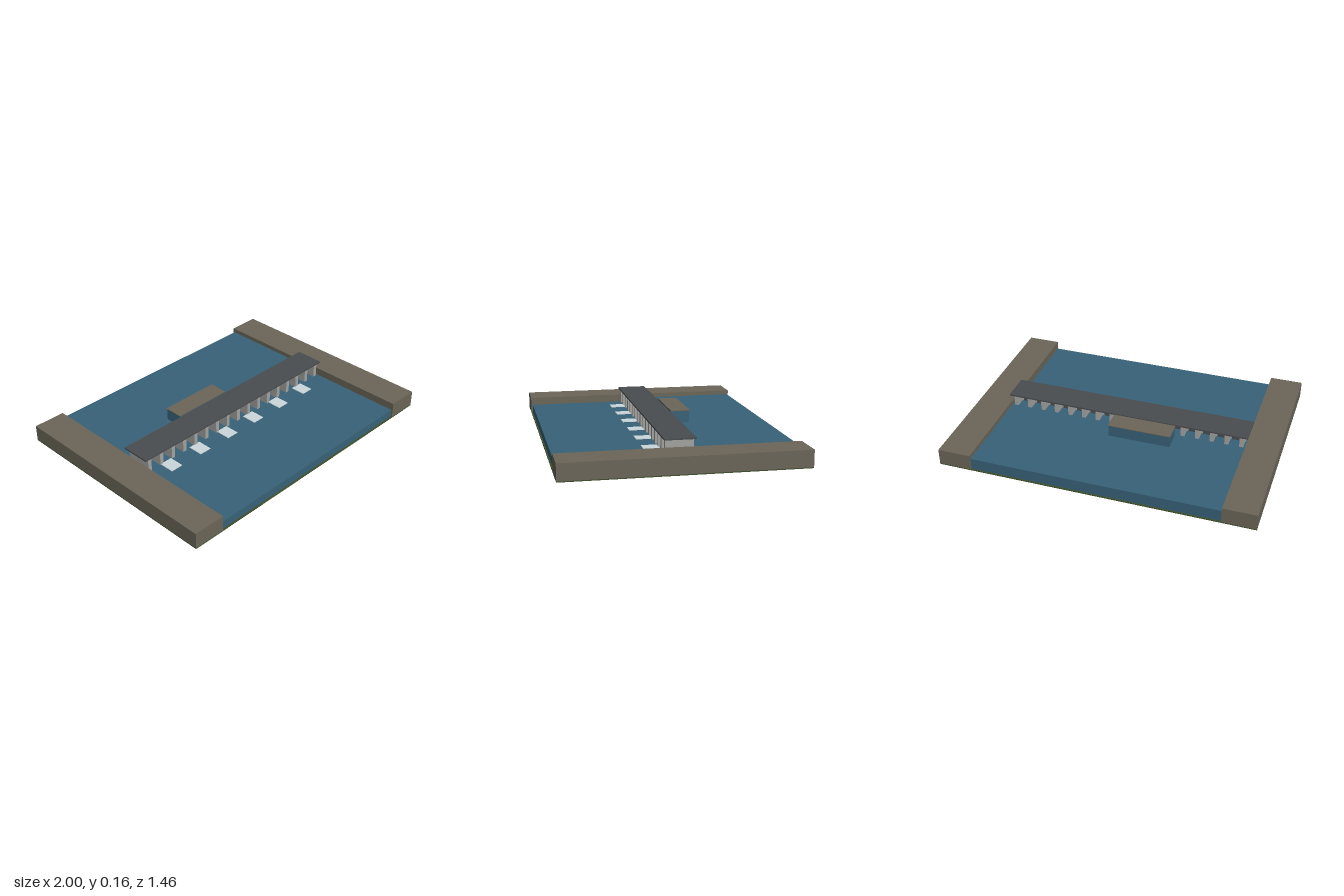
import * as THREE from 'three';

const mat = (name, color) => {
  const m = new THREE.MeshStandardMaterial({ color });
  m.name = name;
  return m;
};

export function createModel() {
  const root = new THREE.Group();
  root.name = 'riverBarrage';
  const grass = mat('grass green', 0x3d4f2c);
  const earth = mat('bank brown', 0x6b6658);
  const water = mat('water blue', 0x386278);
  const concrete = mat('concrete grey', 0xa3a3a1);
  const asphalt = mat('deck grey', 0x4a4d50);
  const steel = mat('gate grey', 0x4b4f52);
  const foamWhite = mat('foam white', 0xccd8dc);

  // Box given by its lower and upper corner on each axis
  const box = (name, material, [x0, x1], [y0, y1], [z0, z1], parent = root) => {
    const mesh = new THREE.Mesh(new THREE.BoxGeometry(x1 - x0, y1 - y0, z1 - z0), material);
    mesh.position.set((x0 + x1) / 2, (y0 + y1) / 2, (z0 + z1) / 2);
    mesh.name = name;
    parent.add(mesh);
    return mesh;
  };

  // Ground, banks and the two water levels
  box('ground', grass, [-1, 1], [0, 0.006], [-0.73, 0.73]);
  box('leftBank', earth, [0.79, 1], [0.006, 0.108], [-0.73, 0.73]);
  box('rightBank', earth, [-1, -0.79], [0.006, 0.108], [-0.73, 0.73]);
  box('upstreamWater', water, [-0.79, 0.79], [0.006, 0.08], [-0.72, -0.02]);
  box('downstreamWater', water, [-0.79, 0.79], [0.006, 0.058], [-0.02, 0.72]);

  // Piers with lift gates between them
  const dam = new THREE.Group();
  dam.name = 'dam';
  root.add(dam);
  const pitch = 0.095;
  for (let i = 0; i <= 16; i++) {
    const x = (i - 8) * pitch;
    box('pier', concrete, [x - 0.013, x + 0.013], [0.03, 0.152], [-0.085, 0.085], dam);
    if (i < 16) {
      const c = x + pitch / 2;
      box('gate', steel, [c - 0.027, c + 0.027], [0.05, 0.12], [-0.012, 0.012], dam);
    }
  }
  box('deck', asphalt, [-0.8, 0.8], [0.152, 0.162], [-0.095, 0.095], dam);

  // Powerhouse on the upstream side
  box('powerhouse', water, [-0.335, 0.065], [0.05, 0.157], [-0.225, -0.107]);
  box('powerhouseRoof', earth, [-0.338, 0.068], [0.157, 0.162], [-0.23, -0.104]);

  // Foam below the gates
  for (let i = 0; i < 6; i++) {
    const x = -0.63 + i * 0.24;
    box('foam', foamWhite, [x - 0.042, x + 0.042], [0.056, 0.062], [0.08, 0.18]);
  }
  return root;
}
